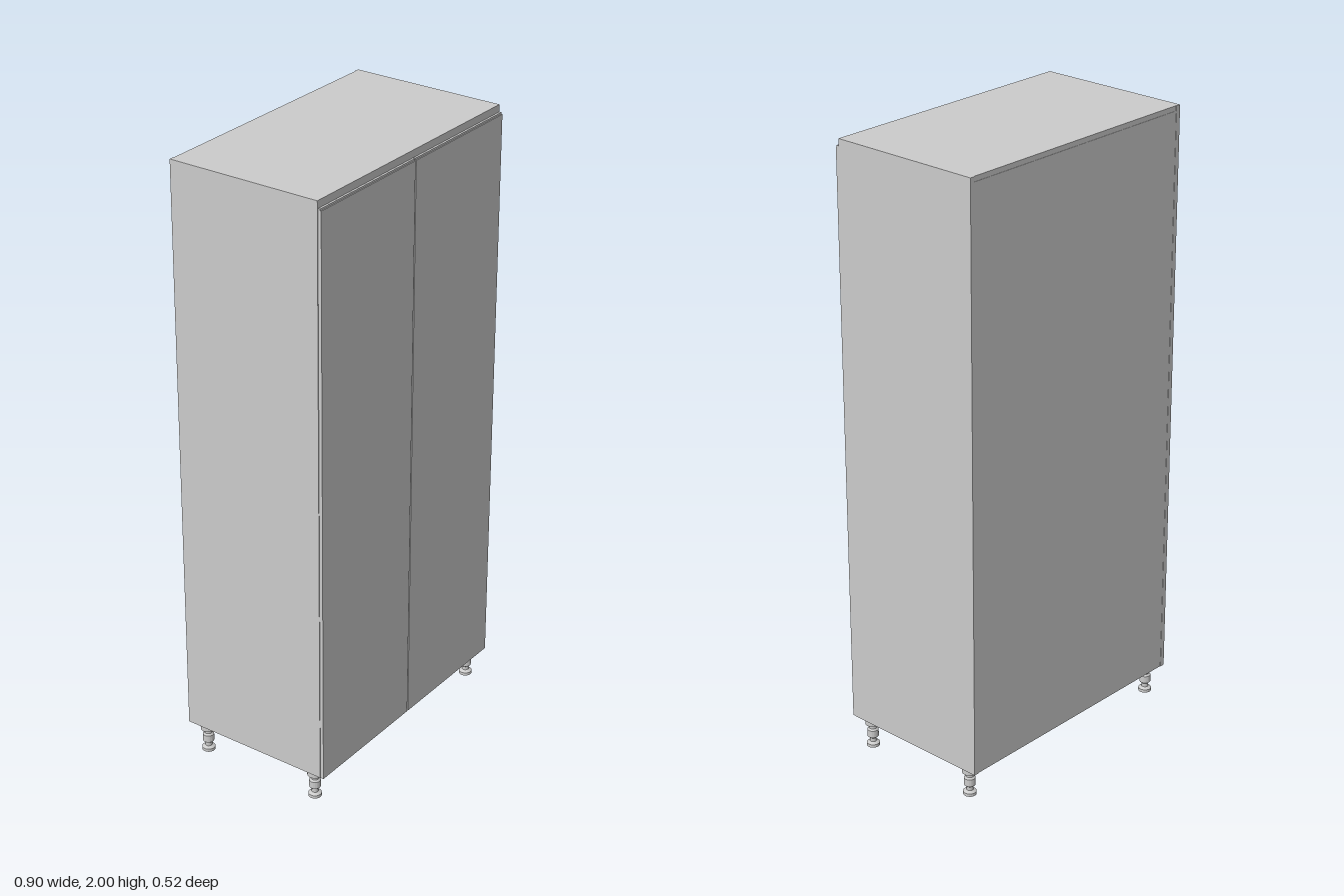
import * as THREE from 'three';

export function createModel() {
  const group = new THREE.Group();
  group.name = 'cabinet';
  const material = new THREE.MeshStandardMaterial({ color: 0xcccccc });

  const HALF_W = 0.452, BOTTOM = 0.1, TOP = 2, BACK = -0.263, FRONT = 0.25, T = 0.016;

  // Box given by its min and max corners
  function panel(name, x0, x1, y0, y1, z0, z1, parent = group) {
    const mesh = new THREE.Mesh(new THREE.BoxGeometry(x1 - x0, y1 - y0, z1 - z0), material);
    mesh.position.set((x0 + x1) / 2, (y0 + y1) / 2, (z0 + z1) / 2);
    mesh.name = name;
    parent.add(mesh);
  }

  // Carcass
  const inner = HALF_W - T;
  panel('rightSide', -HALF_W, -inner, BOTTOM, TOP, BACK, FRONT);
  panel('leftSide', inner, HALF_W, BOTTOM, TOP, BACK, FRONT);
  panel('topPanel', -inner, inner, TOP - T, TOP, BACK + 0.002, FRONT);
  panel('bottomPanel', -inner, inner, BOTTOM, BOTTOM + T, BACK + 0.002, FRONT);
  panel('backPanel', -inner, inner, BOTTOM + T, TOP - T, BACK + 0.001, BACK + 0.007);
  panel('topRail', -inner, inner, 1.95, TOP - T, FRONT - T, FRONT);

  // Shelves behind the doors
  for (let i = 1; i <= 4; i++) {
    const y = BOTTOM + i * 0.38;
    panel('shelf', -inner, inner, y - T / 2, y + T / 2, BACK + 0.007, FRONT - 0.02);
  }

  // Pair of doors, lower than the top so their upper edge serves as a grip
  for (const side of [-1, 1]) {
    const a = side * 0.002, b = side * (HALF_W - 0.001);
    const x0 = Math.min(a, b), x1 = Math.max(a, b);
    const door = new THREE.Group();
    door.name = side > 0 ? 'leftDoor' : 'rightDoor';
    panel('doorLeaf', x0, x1, BOTTOM, 1.972, FRONT + 0.001, 0.262, door);
    panel('doorTopEdge', x0, x1, 1.972, 1.978, FRONT + 0.002, 0.259, door);
    group.add(door);
  }

  // Adjustable feet: mounting plate, neck, collar, stem and pad
  const profile = [
    [0, 0], [0.021, 0], [0.021, 0.01], [0.011, 0.016], [0.011, 0.028],
    [0.018, 0.034], [0.018, 0.058], [0.013, 0.064], [0.013, 0.075],
    [0.024, 0.078], [0.024, 0.1], [0, 0.1],
  ].map(([r, y]) => new THREE.Vector2(r, y));
  const footGeometry = new THREE.LatheGeometry(profile, 20).toNonIndexed();
  footGeometry.computeVertexNormals();
  for (const x of [-0.42, 0.42]) {
    for (const z of [-0.212, 0.207]) {
      const foot = new THREE.Mesh(footGeometry, material);
      foot.name = 'foot';
      foot.position.set(x, 0, z);
      group.add(foot);
    }
  }

  return group;
}
